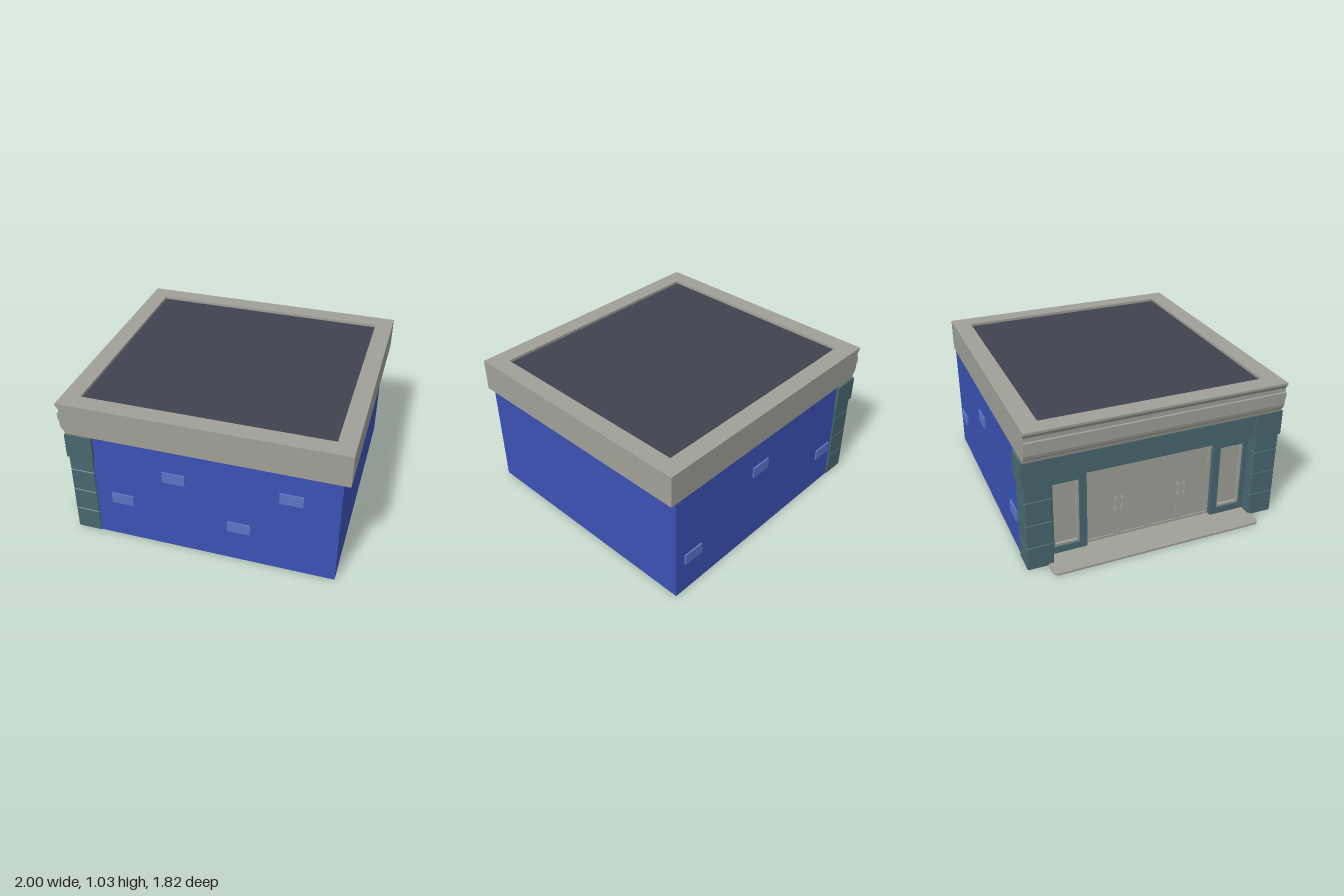
import * as THREE from 'three';
import { RoundedBoxGeometry } from 'three/addons/geometries/RoundedBoxGeometry.js';

const mat = (name, color) => {
  const m = new THREE.MeshStandardMaterial({ color });
  m.name = name;
  return m;
};

export function createModel() {
  const root = new THREE.Group();
  root.name = 'shopBuilding';
  const blue = mat('wallBlue', 0x3b52b4);
  const paleBlue = mat('brickBlue', 0x5c74c6);
  const teal = mat('stoneTeal', 0x48686e);
  const grey = mat('trimGrey', 0xa0a098);
  const slate = mat('roofSlate', 0x40424f);

  const add = (name, geo, m, parent = root) => {
    const mesh = new THREE.Mesh(geo, m);
    mesh.name = name;
    parent.add(mesh);
    return mesh;
  };
  // box given by its minimum and maximum on each axis
  const box = (name, x0, x1, y0, y1, z0, z1, m, parent) => {
    const g = new THREE.BoxGeometry(x1 - x0, y1 - y0, z1 - z0);
    g.translate((x0 + x1) / 2, (y0 + y1) / 2, (z0 + z1) / 2);
    return add(name, g, m, parent);
  };
  // rectangular frame standing in the y-z plane, back face at x, growing towards -x
  const frame = (name, x, depth, y0, y1, z0, z1, border, m, parent) => {
    const rect = (path, b) => path.moveTo(z0 + b, y0 + b).lineTo(z1 - b, y0 + b)
      .lineTo(z1 - b, y1 - b).lineTo(z0 + b, y1 - b).closePath();
    const s = new THREE.Shape();
    rect(s, 0);
    const hole = new THREE.Path();
    rect(hole, border);
    s.holes.push(hole);
    const g = new THREE.ExtrudeGeometry(s, { depth, bevelEnabled: false });
    g.rotateY(-Math.PI / 2).translate(x, 0, 0);
    return add(name, g, m, parent);
  };

  // walls: thin shells, open underneath
  box('frontWall', -0.72, 0.957, 0, 0.802, 0.88, 0.89, blue);
  box('backWall', -0.72, 0.957, 0, 0.802, -0.89, -0.88, blue);
  box('sideWall', 0.947, 0.957, 0, 0.802, -0.88, 0.88, blue);

  // accent bricks: centre x, centre y, side
  [
    [-0.143, 0.593, 1], [0.643, 0.61, 1], [-0.518, 0.33, 1], [0.3, 0.283, 1],
    [-0.603, 0.285, -1], [0.152, 0.585, -1], [0.802, 0.275, -1],
  ].forEach(([x, y, s]) => {
    const brick = add('accentBrick', new THREE.BoxGeometry(0.155, 0.08, 0.024), paleBlue);
    brick.position.set(x, y, s * 0.889);
  });

  // cornice: moulded profile on the shop side, with a shallow recess for the roof
  const top = 1.028, recess = 1.005, rx0 = -0.81, rx1 = 0.877, rz = 0.77, cz = 0.895;
  const moulding = [
    [-0.934, top], [-0.934, 1.013], [-0.921, 0.998], [-0.914, 0.985], [-0.914, 0.957],
    [-0.927, 0.955], [-0.927, 0.908], [-0.918, 0.904], [-0.918, 0.865], [-0.912, 0.842],
    [-0.896, 0.826], [-0.89, 0.802],
  ];
  const notch = [[rx1, top], [rx1, recess], [rx0, recess], [rx0, top]];
  const cornice = new THREE.Group();
  cornice.name = 'cornice';
  root.add(cornice);
  const corniceRun = (z0, z1, pts) => {
    const s = new THREE.Shape(pts.map(([x, y]) => new THREE.Vector2(x, y)));
    const g = new THREE.ExtrudeGeometry(s, { depth: z1 - z0, bevelEnabled: false });
    g.translate(0, 0, z0);
    add('corniceRun', g, grey, cornice);
  };
  const right = [[1, 0.802], [1, top]];
  corniceRun(-cz, -rz, [...moulding, ...right]);
  corniceRun(-rz, rz, [...moulding, ...right, ...notch]);
  corniceRun(rz, cz, [...moulding, ...right]);
  box('roofDeck', rx0, rx1, recess, recess + 0.004, -rz, rz, slate);

  // corner pillars of stacked blocks with a capital
  for (const s of [-1, 1]) {
    const pillar = new THREE.Group();
    pillar.name = 'cornerPillar';
    root.add(pillar);
    for (let i = 0; i < 4; i++) {
      const h = i < 3 ? 0.171 : 0.125;
      const block = add('pillarBlock', new RoundedBoxGeometry(0.173, h, 0.18, 1, 0.008), teal, pillar);
      block.position.set(-0.7965, i * 0.171 + h / 2, s * 0.81);
    }
    const capital = add('pillarCapital', new THREE.BoxGeometry(0.19, 0.177, 0.195), teal, pillar);
    capital.position.set(-0.795, 0.7135, s * 0.8125);
  }

  // lintel beam and header above the doors
  box('lintel', -0.872, -0.82, 0.635, 0.802, -0.72, 0.72, teal);
  box('doorHeader', -0.785, -0.725, 0.6, 0.66, -0.74, 0.74, teal);
  box('transom', -0.76, -0.75, 0.66, 0.802, -0.74, 0.74, grey);

  // side panels with a window each
  for (const s of [-1, 1]) {
    const panel = new THREE.Group();
    panel.name = 'sidePanel';
    root.add(panel);
    const a = Math.min(s * 0.46, s * 0.74), b = Math.max(s * 0.46, s * 0.74);
    frame('panelFrame', -0.735, 0.065, 0.012, 0.6, a, b, 0.05, teal, panel);
    frame('windowTrim', -0.74, 0.045, 0.062, 0.55, a + 0.05, b - 0.05, 0.014, grey, panel);
    box('windowPane', -0.765, -0.755, 0.06, 0.55, a + 0.05, b - 0.05, grey, panel);
  }

  // two pairs of door leaves with handles
  for (let i = 0; i < 4; i++) {
    const leaf = new THREE.Group();
    leaf.name = 'doorLeaf';
    root.add(leaf);
    const z0 = -0.46 + i * 0.23, z1 = z0 + 0.226;
    frame('leafFrame', -0.745, 0.025, 0.012, 0.6, z0, z1, 0.022, grey, leaf);
    box('leafPane', -0.762, -0.752, 0.03, 0.58, z0 + 0.02, z1 - 0.02, grey, leaf);
    const hz = i % 2 ? z0 + 0.02 : z1 - 0.02;
    for (const x of [-0.797, -0.723]) {
      const bar = add('doorHandle', new THREE.CylinderGeometry(0.005, 0.005, 0.1, 8), grey, leaf);
      bar.position.set(x, 0.29, hz);
    }
    for (const y of [0.25, 0.33]) box('handleMount', -0.797, -0.723, y - 0.004, y + 0.004, hz - 0.004, hz + 0.004, grey, leaf);
  }

  // entrance slab with rounded outer corners, and threshold
  const r = 0.035, w = 0.747, xo = -1, xi = -0.76;
  const slab = new THREE.Shape();
  slab.moveTo(xi, -w).lineTo(xi, w).lineTo(xo + r, w);
  slab.absarc(xo + r, w - r, r, Math.PI / 2, Math.PI, false);
  slab.absarc(xo + r, -w + r, r, Math.PI, Math.PI * 1.5, false);
  slab.closePath();
  const slabGeo = new THREE.ExtrudeGeometry(slab, { depth: 0.015, bevelEnabled: false, curveSegments: 6 });
  slabGeo.rotateX(-Math.PI / 2).translate(0, 0, -0.01);
  add('entranceSlab', slabGeo, grey);
  box('threshold', -0.76, -0.725, 0, 0.014, -0.72, 0.72, grey);

  return root;
}
